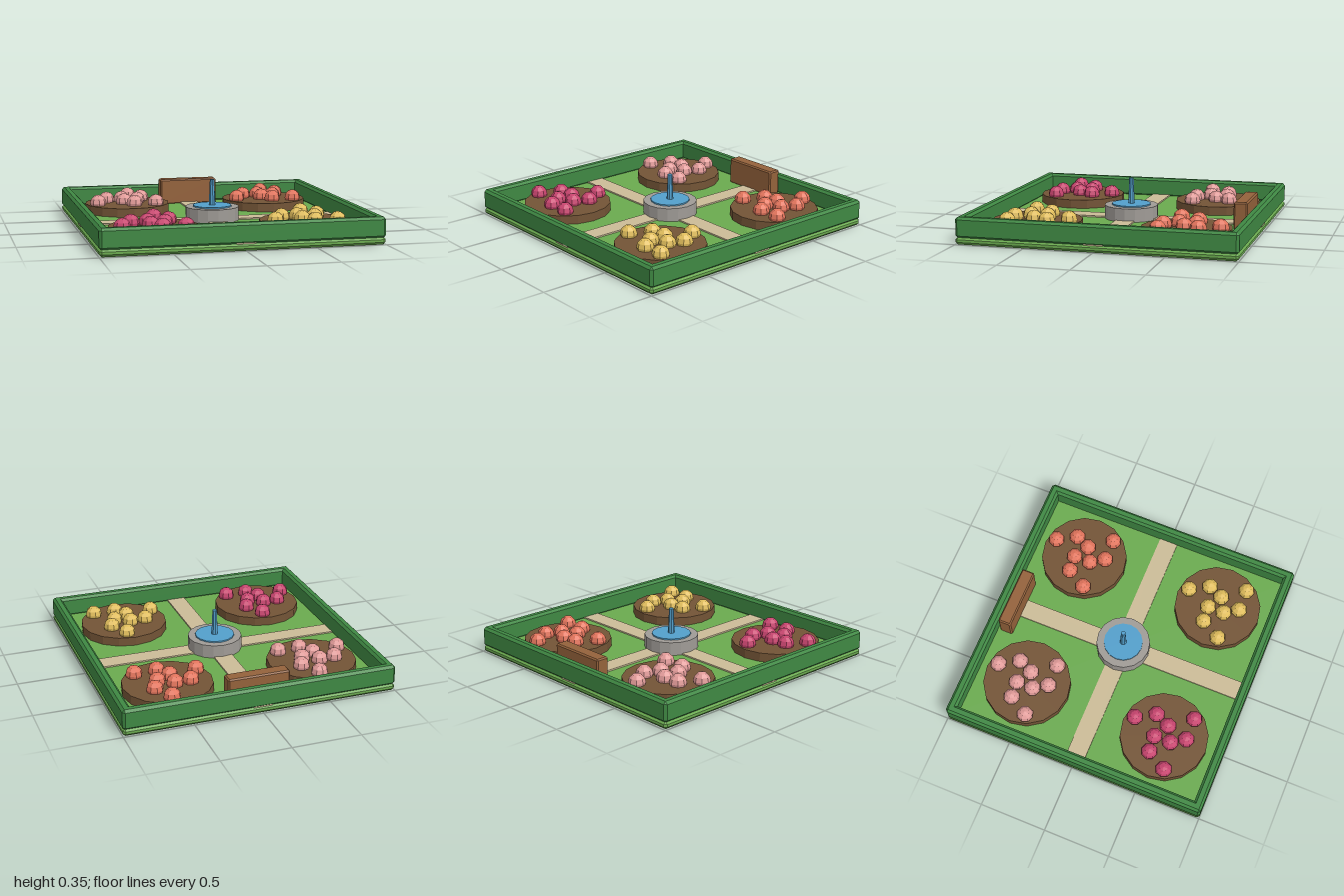
import * as THREE from 'three';
import { ConvexGeometry } from 'three/addons/geometries/ConvexGeometry.js';

const paint = (color) => new THREE.MeshStandardMaterial({ color, flatShading: true });

// Box with 45 degree chamfers on every edge, given by its size
function chamferBox(w, h, d, c) {
  const points = [];
  for (const x of [-1, 1]) for (const y of [-1, 1]) for (const z of [-1, 1]) {
    for (let flush = 0; flush < 3; flush++) {
      const inset = [c, c, c];
      inset[flush] = 0;
      points.push(new THREE.Vector3(
        x * (w / 2 - inset[0]), y * (h / 2 - inset[1]), z * (d / 2 - inset[2])));
    }
  }
  return new ConvexGeometry(points);
}

export function createModel() {
  const garden = new THREE.Group();
  garden.name = 'garden';

  const add = (parent, name, geometry, material, x, y, z) => {
    const mesh = new THREE.Mesh(geometry, material);
    mesh.name = name;
    mesh.position.set(x, y, z);
    parent.add(mesh);
    return mesh;
  };
  // Upright prism between two heights
  const drum = (parent, name, rTop, rBottom, y0, y1, sides, material, x = 0, z = 0) =>
    add(parent, name, new THREE.CylinderGeometry(rTop, rBottom, y1 - y0, sides),
      material, x, (y0 + y1) / 2, z);

  // Lawn slab
  add(garden, 'lawn', chamferBox(2, 0.055, 2, 0.018), paint(0x6aaa4f), 0, 0.0275, 0);

  // Crossing paths
  const sand = paint(0xcbbb97);
  add(garden, 'pathAlongZ', new THREE.BoxGeometry(0.14, 0.018, 1.99), sand, 0, 0.057, 0);
  add(garden, 'pathAlongX', new THREE.BoxGeometry(1.99, 0.017, 0.14), sand, 0, 0.057, 0);

  // Hedge walls
  const leaf = paint(0x3f8843);
  const hedge = chamferBox(2, 0.15, 0.07, 0.018);
  ['frontHedge', 'leftHedge', 'backHedge', 'rightHedge'].forEach((name, i) => {
    const a = i * Math.PI / 2;
    add(garden, name, hedge, leaf, Math.sin(a) * 0.965, 0.12, Math.cos(a) * 0.965).rotation.y = a;
  });

  // Fountain
  const fountain = new THREE.Group();
  fountain.name = 'fountain';
  garden.add(fountain);
  const blue = paint(0x539fcb);
  drum(fountain, 'basin', 0.2, 0.2, 0.05, 0.155, 16, paint(0x9f9b96));
  drum(fountain, 'water', 0.145, 0.145, 0.1, 0.165, 16, blue);
  drum(fountain, 'waterJet', 0.017, 0.025, 0.16, 0.355, 8, blue);

  // Bench at the end of the back path
  add(garden, 'bench', chamferBox(0.454, 0.2, 0.1, 0.01), paint(0x94623b), 0, 0.15, -0.865);

  // Four round flower beds sharing one planting pattern (x, z offsets)
  const planting = [
    [0.045, -0.25], [0.125, -0.11], [-0.155, -0.055], [-0.035, -0.065], [0.075, 0],
    [-0.24, 0.09], [-0.035, 0.06], [0.03, 0.16], [0.195, 0.16],
  ];
  const soil = paint(0x735436);
  const bloom = new THREE.SphereGeometry(0.062, 8, 6);
  const beds = [
    ['backRight', -1, -1, 0xe09a98], ['backLeft', 1, -1, 0xe2745c],
    ['frontRight', -1, 1, 0xc8456f], ['frontLeft', 1, 1, 0xe0bd5c],
  ];
  for (const [name, sx, sz, color] of beds) {
    const bed = new THREE.Group();
    bed.name = name + 'Bed';
    bed.position.set(sx * 0.547, 0, sz * 0.547);
    garden.add(bed);
    drum(bed, 'soil', 0.325, 0.325, 0.05, 0.12, 16, soil);
    const petals = paint(color);
    for (const [x, z] of planting) add(bed, 'flower', bloom, petals, x, 0.139, z);
  }
  return garden;
}
